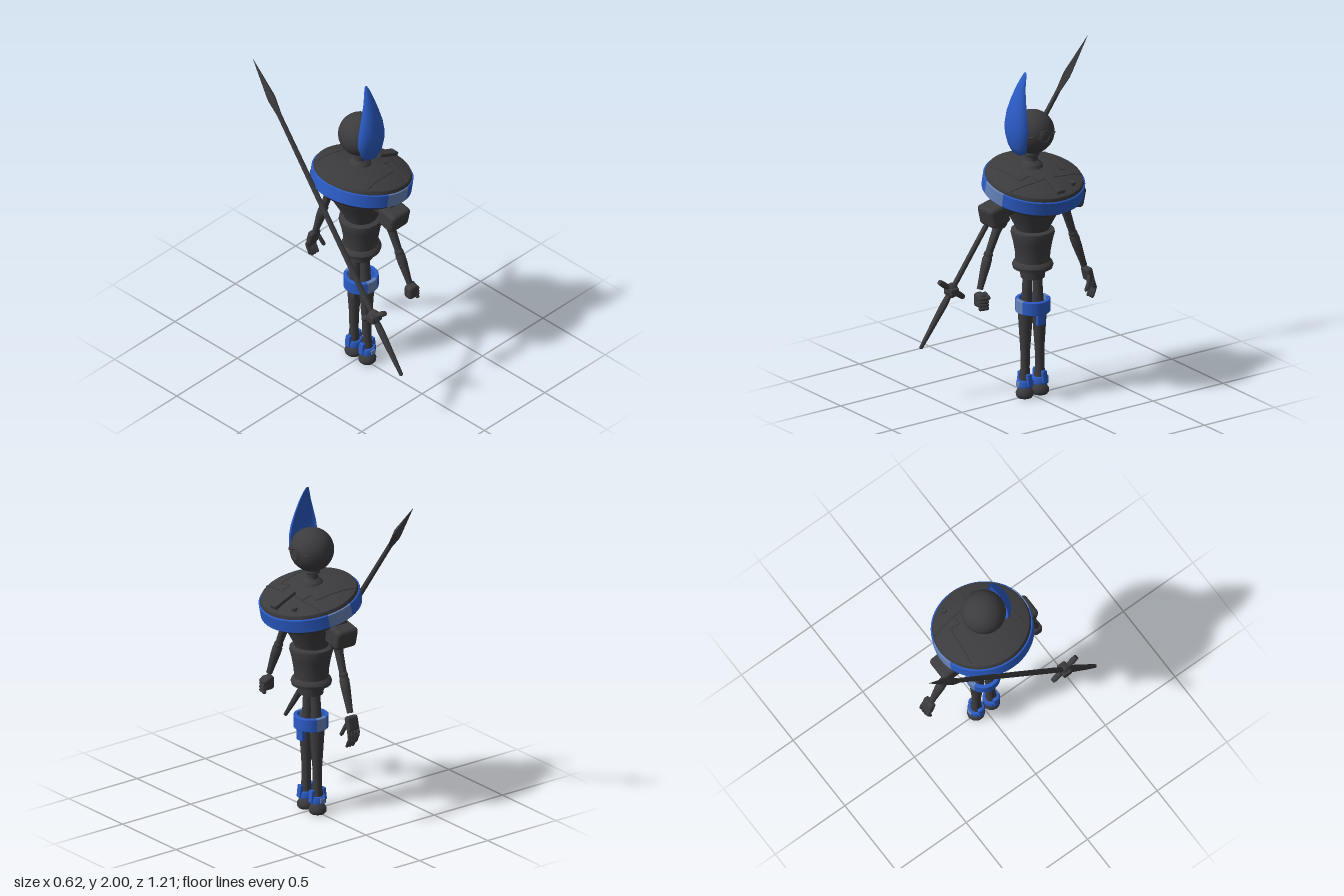
import * as THREE from 'three';
import { toCreasedNormals } from 'three/addons/utils/BufferGeometryUtils.js';
import { RoundedBoxGeometry } from 'three/addons/geometries/RoundedBoxGeometry.js';

const V = (x, y, z) => new THREE.Vector3(x, y, z);
const UP = V(0, 1, 0);

export function createModel() {
  const charcoal = new THREE.MeshStandardMaterial({ name: 'charcoal metal', color: 0x3c3c3f });
  const blue = new THREE.MeshStandardMaterial({ name: 'blue paint', color: 0x2b5cc6 });
  const paleBlue = new THREE.MeshStandardMaterial({ name: 'pale blue paint', color: 0x6482b8 });
  const plumeBlue = new THREE.MeshStandardMaterial({ name: 'plume blue', color: 0x2b5cc6, side: THREE.DoubleSide });

  const model = new THREE.Group();
  model.name = 'spearBearer';

  const add = (parent, name, geo, mat = charcoal, x = 0, y = 0, z = 0) => {
    const m = new THREE.Mesh(geo, mat);
    m.name = name;
    m.position.set(x, y, z);
    parent.add(m);
    return m;
  };
  const group = (name, x = 0, y = 0, z = 0) => {
    const g = new THREE.Group();
    g.name = name;
    g.position.set(x, y, z);
    model.add(g);
    return g;
  };
  // Profile of [radius, height], listed from bottom to top
  const lathe = (pts, seg = 32, start = 0, len = Math.PI * 2) => toCreasedNormals(
    new THREE.LatheGeometry(pts.map(p => new THREE.Vector2(...p)), seg, start, len), 0.6);
  // Turned part running from a to b; profile heights are fractions of the length
  const turned = (parent, name, a, b, pts, seg = 16) => {
    const len = a.distanceTo(b);
    const m = add(parent, name, lathe(pts.map(([r, t]) => [r, t * len]), seg), charcoal, a.x, a.y, a.z);
    m.quaternion.setFromUnitVectors(UP, b.clone().sub(a).normalize());
    return m;
  };
  // Ring of blue paint with a pale patch on both z sides
  const paintedRing = (parent, name, outer, inner, h, pale) => {
    const prof = [[inner, -h], [outer - 0.004, -h], [outer, -h + 0.004], [outer, h - 0.004],
      [outer - 0.004, h], [inner, h], [inner, -h]];
    const [p0, p1] = pale;
    [[p0, p1, paleBlue], [p1, Math.PI - p1, blue], [Math.PI - p1, Math.PI - p0, paleBlue],
      [Math.PI - p0, Math.PI * 2 + p0, blue]].forEach(([s, e, mat]) =>
      add(parent, name, lathe(prof, Math.ceil((e - s) * 9), s, e - s), mat));
  };

  // Tilted shoulder disc
  const disc = group('shoulderDisc', 0.015, 1.3, 0);
  disc.rotation.z = -0.205;
  const dome = [[0.288, 0.042], [0.28, 0.062], [0.22, 0.085], [0.12, 0.105], [0, 0.115]];
  add(disc, 'discShell', lathe([[0, -0.09], [0.2, -0.085], [0.255, -0.072], [0.284, -0.045], ...dome], 64));
  paintedRing(disc, 'discBand', 0.297, 0.27, 0.042, [-0.27, 0.3]);
  const domeY = r => {
    const i = Math.max(1, dome.findIndex(p => p[0] <= r));
    const [[r0, y0], [r1, y1]] = [dome[i - 1], dome[i]];
    return y0 + (y1 - y0) * (r - r0) / (r1 - r0);
  };
  // Panel seams that follow the dome
  const seam = pts => {
    const curve = new THREE.CurvePath();
    for (let i = 1; i < pts.length; i++) {
      const at = t => {
        const x = pts[i - 1][0] + (pts[i][0] - pts[i - 1][0]) * t;
        const z = pts[i - 1][1] + (pts[i][1] - pts[i - 1][1]) * t;
        return V(x, domeY(Math.hypot(x, z)), z);
      };
      for (let k = 0; k < 4; k++) curve.add(new THREE.LineCurve3(at(k / 4), at((k + 1) / 4)));
    }
    add(disc, 'panelSeam', new THREE.TubeGeometry(curve, 64, 0.005, 6));
  };
  seam([[-0.18, -0.2], [0.07, -0.165], [0.06, -0.11], [0.125, -0.1], [0.125, 0.08],
    [0.06, 0.085], [0.07, 0.165], [-0.18, 0.2]]);
  for (const s of [1, -1]) seam([[0.11, 0.255 * s], [0.127, 0.09 * s]]);
  add(disc, 'discBar', new RoundedBoxGeometry(0.16, 0.025, 0.055, 2, 0.005), charcoal, 0.185, 0.1, 0).rotation.z = -0.2;
  add(disc, 'discStud', new THREE.CylinderGeometry(0.018, 0.02, 0.02, 16), charcoal, 0.2, 0.085, -0.12);

  // Neck and head
  add(model, 'neck', lathe([[0.075, 1.38], [0.06, 1.425], [0.035, 1.445], [0.033, 1.47], [0.045, 1.48], [0.04, 1.52]], 24));
  const head = group('head', 0.004, 1.62, 0);
  add(head, 'skull', new THREE.SphereGeometry(0.129, 40, 28));
  const eye = add(head, 'eyeRim', new THREE.TorusGeometry(0.036, 0.008, 8, 6), charcoal, 0.122, 0, 0);
  eye.rotation.y = Math.PI / 2;
  add(head, 'eyeLens', new THREE.CylinderGeometry(0.026, 0.032, 0.012, 6), charcoal, 0.124, 0, 0).rotation.z = -Math.PI / 2;
  for (const s of [1, -1])
    add(head, 'headSlot', new RoundedBoxGeometry(0.012, 0.012, 0.03, 2, 0.004), charcoal, 0.1, 0.004, 0.081 * s).rotation.y = -0.68 * s;

  // Crescent plume: rows of [height, centre x, half width, front z]
  const rows = [[1.495, 0, 0.02, 0.1], [1.51, -0.002, 0.058, 0.122], [1.55, -0.005, 0.08, 0.14], [1.62, -0.009, 0.1, 0.153],
    [1.68, -0.01, 0.1, 0.154], [1.75, -0.009, 0.088, 0.145], [1.82, -0.007, 0.067, 0.126],
    [1.9, -0.004, 0.041, 0.098], [1.96, 0, 0.021, 0.068], [1.985, 0, 0.01, 0.053], [1.992, 0, 0.001, 0.047]];
  const N = 24, pos = [], idx = [];
  rows.forEach(([y, cx, w, zf], j) => {
    for (let i = 0; i < N; i++) {
      const back = i >= N / 2, a = (-0.5 + (back ? 2 - i * 2 / N : i * 2 / N)) * Math.PI;
      const thick = back ? Math.min(0.022, w * 0.5) * Math.cos(a) : 0;
      pos.push(cx + w * Math.sin(a), y, zf - 0.62 * w * (1 - Math.cos(a)) - thick);
      if (j < rows.length - 1) {
        const p = j * N + i, q = j * N + (i + 1) % N;
        idx.push(p, q, q + N, p, q + N, p + N);
      }
    }
  });
  let plume = new THREE.BufferGeometry();
  plume.setAttribute('position', new THREE.Float32BufferAttribute(pos, 3));
  plume.setIndex(idx);
  add(model, 'plume', toCreasedNormals(plume, 0.8), plumeBlue);

  // Torso cone, waist and hips
  add(model, 'chest', lathe([[0.095, 1.01], [0.1, 1.04], [0.185, 1.2], [0.2, 1.24], [0.2, 1.28]], 40), charcoal, 0.008);
  add(model, 'waist', lathe([[0, 0.73], [0.07, 0.73], [0.075, 0.775], [0.115, 0.79], [0.12, 0.808], [0.113, 0.825],
    [0.1, 0.835], [0.102, 0.88], [0.114, 0.95], [0.128, 1.005], [0.125, 1.022], [0.098, 1.03]], 40), charcoal, 0.008);

  // Knee cuff around both legs
  const cuff = group('kneeCuff', 0.01, 0.56, 0);
  paintedRing(cuff, 'cuffBand', 0.102, 0.08, 0.04, [-0.42, 0.32]);
  add(cuff, 'cuffTab', new RoundedBoxGeometry(0.025, 0.085, 0.055, 2, 0.006), blue, 0.076, -0.065, 0);
  add(cuff, 'cuffTabBack', new RoundedBoxGeometry(0.025, 0.07, 0.05, 2, 0.006), charcoal, -0.07, -0.06, 0);

  // Legs
  for (const s of [1, -1]) {
    const leg = group(s > 0 ? 'frontLeg' : 'rearLeg', 0.005, 0, 0);
    turned(leg, 'thigh', V(0, 0.5, 0.045 * s), V(0, 0.76, 0.034 * s), [[0.036, 0], [0.03, 0.5], [0.028, 1]]);
    turned(leg, 'shin', V(0, 0.08, 0.053 * s), V(0, 0.57, 0.049 * s),
      [[0.036, 0], [0.027, 0.2], [0.028, 0.4], [0.038, 0.7], [0.044, 0.88], [0.042, 1]], 24);
    add(leg, 'foot', lathe([[0, 0], [0.042, 0], [0.051, 0.012], [0.052, 0.03], [0.042, 0.05], [0.03, 0.062], [0, 0.064]], 24),
      charcoal, 0, 0, 0.055 * s);
    add(leg, 'ankleBand', lathe([[0.03, 0.066], [0.049, 0.068], [0.051, 0.09], [0.045, 0.107], [0.026, 0.11]], 24), blue, 0, 0, 0.054 * s);
    for (const d of [1, -1])
      add(leg, 'ankleTab', new RoundedBoxGeometry(0.022, 0.075, 0.032, 2, 0.005), blue, 0.044 * d, 0.112, 0.054 * s).rotation.z = 0.12 * d;
    add(leg, 'ankleClasp', new RoundedBoxGeometry(0.035, 0.03, 0.012, 2, 0.004), paleBlue, 0, 0.088, 0.1 * s);
  }

  // Arms: shoulder pad, ball joint, upper arm and forearm
  const arm = (name, s, elbow, wrist) => {
    const g = group(name);
    const pad = add(g, 'shoulderPad', new RoundedBoxGeometry(0.15, 0.125, 0.13, 4, 0.025), charcoal, 0, 1.172, 0.272 * s);
    pad.rotation.x = 0.22 * s;
    add(g, 'shoulderLink', new THREE.CylinderGeometry(0.05, 0.06, 0.14, 20), charcoal, 0, 1.2, 0.2 * s).rotation.x = Math.PI / 2;
    const ball = V(0, 1.115, 0.23 * s);
    add(g, 'shoulderBall', new THREE.SphereGeometry(0.046, 20, 14), charcoal, ...ball);
    turned(g, 'upperArm', ball, elbow, [[0.036, 0], [0.026, 0.3], [0.022, 0.9], [0.022, 1]]);
    add(g, 'elbow', new THREE.SphereGeometry(0.027, 16, 12), charcoal, ...elbow);
    turned(g, 'forearm', elbow, wrist, [[0.02, 0], [0.029, 0.12], [0.028, 0.35], [0.019, 0.9], [0.019, 1]]);
    return g;
  };
  const digit = (g, a, b, r) => turned(g, 'finger', a, b,
    [[0, -0.2], [r * 0.8, -0.12], [r, 0], [r, 1], [r * 0.7, 1.13], [0, 1.2]], 10);

  const fistArm = arm('fistArm', 1, V(0.002, 0.93, 0.313), V(0.015, 0.735, 0.383));
  add(fistArm, 'fist', new RoundedBoxGeometry(0.07, 0.085, 0.06, 3, 0.02), charcoal, 0.025, 0.675, 0.388);
  for (let i = 0; i < 4; i++)
    digit(fistArm, V(0.055, 0.69 - i * 0.02, 0.41), V(0.065, 0.69 - i * 0.02, 0.365), 0.012);
  digit(fistArm, V(0.03, 0.71, 0.36), V(0.07, 0.69, 0.36), 0.013);

  const openArm = arm('openArm', -1, V(0.002, 0.93, -0.292), V(0.01, 0.72, -0.365));
  add(openArm, 'palm', new RoundedBoxGeometry(0.08, 0.09, 0.04, 3, 0.016), charcoal, 0.015, 0.665, -0.388).rotation.x = 0.25;
  for (let i = 0; i < 4; i++) {
    const x = -0.015 + i * 0.021, drop = i === 0 ? 0.02 : 0;
    digit(openArm, V(x, 0.635, -0.4), V(x + 0.004, 0.585 + drop, -0.414), 0.011);
    digit(openArm, V(x + 0.004, 0.578 + drop, -0.413), V(x + 0.006, 0.533 + drop, -0.393), 0.01);
  }
  digit(openArm, V(0.045, 0.66, -0.375), V(0.065, 0.6, -0.355), 0.012);

  // Spear with its crossguard, leaning beside the body
  const spear = group('spear');
  const tail = V(-0.27, 0.33, 0.6), tip = V(-0.27, 2, -0.6);
  turned(spear, 'shaft', tail, tip, [[0, 0], [0.011, 0.003], [0.016, 0.06], [0.021, 0.14], [0.016, 0.19],
    [0.016, 0.5], [0.014, 0.8], [0.014, 0.82]], 12);
  turned(spear, 'spearhead', tail, tip, [[0.013, 0.805], [0.03, 0.872], [0.028, 0.885], [0, 1]], 4);
  const c = tail.clone().lerp(tip, 0.187);
  turned(spear, 'crossguard', V(c.x, c.y + 0.07, c.z + 0.088), V(c.x, c.y - 0.06, c.z - 0.085),
    [[0, 0], [0.015, 0.01], [0.018, 0.15], [0.015, 0.5], [0.018, 0.85], [0.015, 0.99], [0, 1]], 10);
  add(spear, 'guardKnot', new THREE.SphereGeometry(0.042, 14, 10), charcoal, c.x, c.y, c.z).scale.set(0.75, 1.1, 1);
  for (const s of [1, -1])
    add(spear, 'guardStud', new RoundedBoxGeometry(0.025, 0.05, 0.06, 2, 0.01), charcoal, c.x + 0.027 * s, c.y - 0.005, c.z);

  return model;
}
